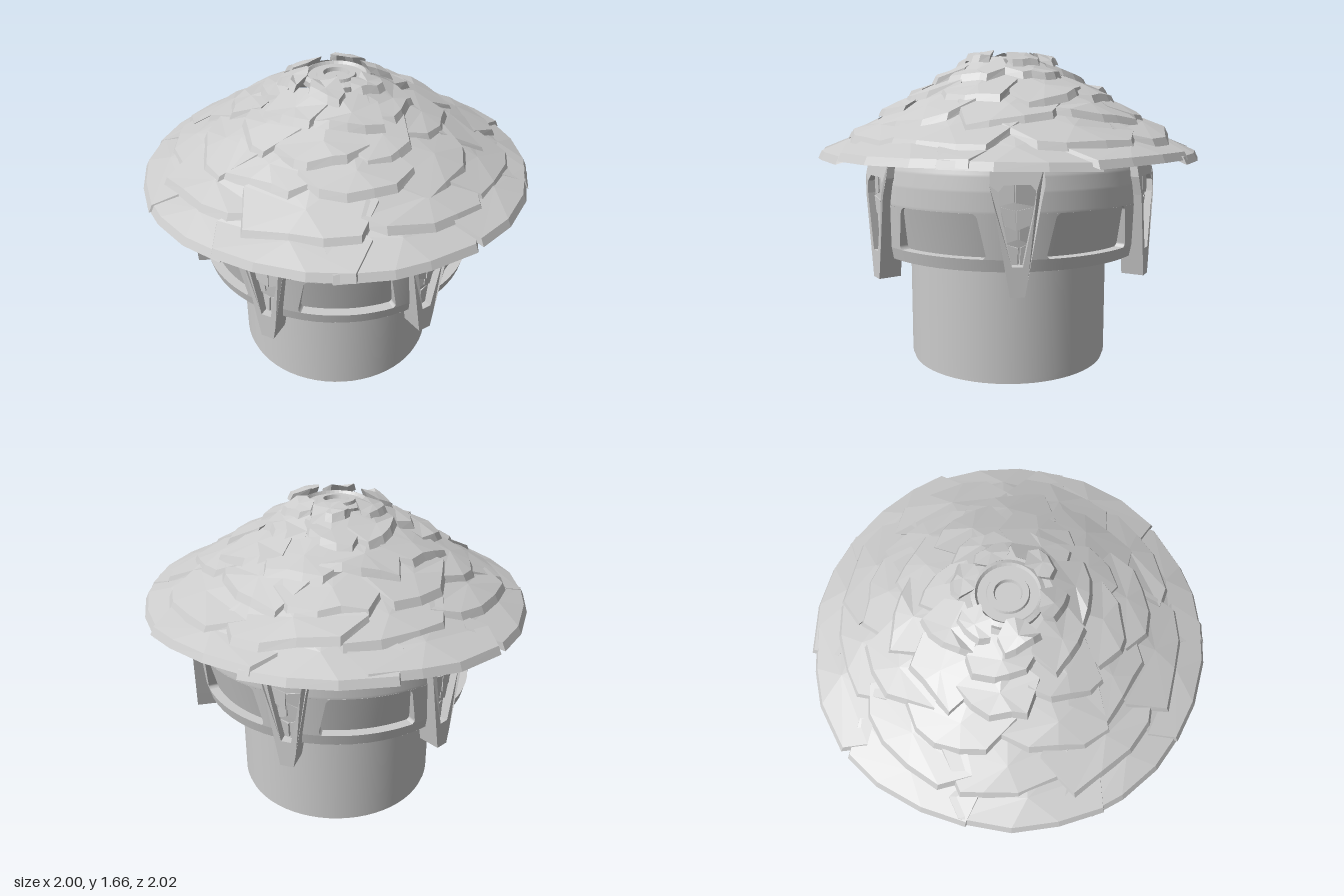
import * as THREE from 'three';
import { ParametricGeometry } from 'three/addons/geometries/ParametricGeometry.js';

const { lerp } = THREE.MathUtils;
const smooth = new THREE.MeshStandardMaterial({ color: 0xcccccc, side: THREE.DoubleSide });
const faceted = new THREE.MeshStandardMaterial({ color: 0xcccccc, side: THREE.DoubleSide, flatShading: true });

let seed = 7;
const rand = () => (seed = (seed * 16807) % 2147483647) / 2147483647;
const jitter = (a) => (rand() * 2 - 1) * a;

function add(parent, name, geometry, material = smooth) {
  const mesh = new THREE.Mesh(geometry, material);
  mesh.name = name;
  parent.add(mesh);
  return mesh;
}

// Piecewise linear lookup in a list of [position, value]
function sample(table, t) {
  for (let i = 1; i < table.length; i++) {
    const [a, va] = table[i - 1], [b, vb] = table[i];
    if (t <= b) return lerp(va, vb, (t - a) / (b - a));
  }
  return table[table.length - 1][1];
}

const lathe = (pts, n = 64) => new THREE.LatheGeometry(pts.map(([r, y]) => new THREE.Vector2(r, y)), n);

// Plain drum below, with concentric ridges and a central well underneath
function addBase(g) {
  add(g, 'drum', new THREE.CylinderGeometry(0.537, 0.537, 0.595, 64, 1, true)).position.y = 0.3225;
  add(g, 'drumFoot', new THREE.CylinderGeometry(0.528, 0.528, 0.025, 64, 1, true)).position.y = 0.0125;
  add(g, 'drumLip', lathe([[0.537, 0.025], [0.528, 0.025]]));
  const ridges = [];
  for (let i = 0; i <= 12; i++) ridges.push([0.16 + i * 0.0307, i % 2 ? 0.025 : 0]);
  add(g, 'drumUnderside', lathe(ridges), faceted);
  add(g, 'drumWell', lathe([[0.001, 0.2], [0.15, 0.2], [0.16, 0]]));
}

// Upper band with six recessed windows
const bandRadius = [[0.62, 0.715], [0.68, 0.73], [0.9, 0.752], [1.0, 0.75], [1.07, 0.74], [1.13, 0.72]];
function bandPoint(angle, y, inset, target) {
  const r = sample(bandRadius, y) - inset;
  target.set(r * Math.sin(angle), y, r * Math.cos(angle));
}
function addBand(g) {
  const half = Math.PI / 6, low = 0.68, high = 0.895;
  // Window half angle, rounded off at the corners
  const edge = (y) => {
    const t = (y - low) / (high - low);
    const corner = Math.max(0, 1 - Math.min(t, 1 - t) * 10);
    return lerp(0.335, 0.275, t) - 0.022 * corner * corner;
  };
  const recess = (y) => lerp(0.05, 0.015, (y - low) / (high - low));
  const patch = (a0, a1, y0, y1, inset = () => 0) => new ParametricGeometry((u, v, t) => {
    const y = lerp(y0, y1, v);
    bandPoint(lerp(a0(y), a1(y), u), y, inset(y), t);
  }, 10, 20);
  for (let i = 0; i < 6; i++) {
    const sector = new THREE.Group();
    sector.name = 'windowSector';
    sector.rotation.y = i * Math.PI / 3;
    g.add(sector);
    const L = () => -half, R = () => half, l = (y) => -edge(y), r = edge;
    add(sector, 'bandBelow', patch(L, R, 0.62, low));
    add(sector, 'bandAbove', patch(L, R, high, 1.13));
    add(sector, 'bandLeft', patch(r, R, low, high));
    add(sector, 'bandRight', patch(L, l, low, high));
    add(sector, 'windowPane', patch(l, r, low, high, recess));
    // Reveals around the pane
    for (const s of [-1, 1]) add(sector, 'windowJamb', new ParametricGeometry((u, v, t) => {
      const y = lerp(low, high, v);
      bandPoint(s * edge(y), y, u * recess(y), t);
    }, 1, 20));
    for (const y of [low, high]) add(sector, 'windowSill', new ParametricGeometry((u, v, t) => {
      bandPoint(lerp(-edge(y), edge(y), v), y, u * recess(y), t);
    }, 1, 10));
  }
  add(g, 'bandFloor', new THREE.RingGeometry(0.5, 0.715, 64).rotateX(Math.PI / 2)).position.y = 0.62;
  add(g, 'bandTop', new THREE.CircleGeometry(0.72, 64).rotateX(-Math.PI / 2)).position.y = 1.13;
}

// V-shaped brackets hanging under the eave, filled with cracked stone
function addBracket(g, angle) {
  const b = new THREE.Group();
  b.name = 'bracket';
  b.rotation.y = angle;
  g.add(b);
  const mirrored = (pts) => [
    ...pts.map(([x, y]) => new THREE.Vector2(x, y)),
    ...pts.slice().reverse().map(([x, y]) => new THREE.Vector2(-x, y))];
  const shape = new THREE.Shape(mirrored([[0.034, 0.52], [0.048, 0.6], [0.105, 0.94], [0.125, 1.03], [0.12, 1.11]]));
  shape.holes.push(new THREE.Path(mirrored([[0.025, 0.66], [0.08, 0.94], [0.085, 1.0], [0.06, 1.03]])));
  const frame = new THREE.ExtrudeGeometry(shape, { depth: 0.115, bevelEnabled: false }).translate(0, 0, 0.67);
  const p = frame.attributes.position;
  // Lean the head inwards with the band
  for (let i = 0; i < p.count; i++) p.setZ(i, p.getZ(i) - Math.max(0, p.getY(i) - 0.98) * 0.2);
  frame.computeVertexNormals();
  add(b, 'bracketFrame', frame, faceted);
  // Wedge-shaped shards, split by slanting cracks
  const cuts = [0.66, 0.76, 0.84, 0.93, 1.03];
  const width = (y) => lerp(0.025, 0.09, (y - 0.66) / 0.37);
  for (let i = 0; i < 4; i++) {
    const split = jitter(0.3), slant = 0.02 * (i % 2 ? 1 : -1);
    for (const s of [-1, 1]) {
      const y0 = cuts[i], y1 = cuts[i + 1];
      const shard = new THREE.Shape([
        new THREE.Vector2(s * width(y0), y0 + 0.004), new THREE.Vector2(split * width(y0), y0 + slant),
        new THREE.Vector2(split * width(y1), y1 + slant), new THREE.Vector2(s * width(y1), y1 - 0.004)]);
      const geo = new THREE.ExtrudeGeometry(shard, { depth: 0.03, bevelEnabled: false });
      const mid = (y0 + y1) / 2;
      geo.translate(0, -mid, 0).rotateX(jitter(0.1)).rotateY(s * 0.12 + jitter(0.1));
      add(b, 'bracketShard', geo, faceted).position.set(0, mid, lerp(0.715, 0.733, i / 3));
    }
  }
}

// Roof of overlapping irregular slabs
const roofHeight = [[0.12, 1.67], [0.3, 1.525], [0.5, 1.41], [0.65, 1.315], [0.8, 1.215], [1, 1.12]];
function slabGeometry(r0, r1, mid, span, lift, rough, corner) {
  const rim = [];
  const skew = jitter(0.5);
  // Each slab is lifted more at one side than at the other
  const point = (r, a, up) => rim.push([r, mid + a * span, up * (1 + skew * a)]);
  const slant = jitter(rough);
  for (const a of [corner, corner / 3, -corner / 3, -corner]) {
    point(r1 - rough + slant * a / corner + jitter(rough * 0.4), a + jitter(0.05), lift);
  }
  point(lerp(r0, r1, 0.5 + jitter(0.2)), -0.56, lift * 0.6);
  for (const a of [-0.36, 0, 0.36]) point(r0 + jitter(rough * 0.5), a, 0);
  point(lerp(r0, r1, 0.5 + jitter(0.2)), 0.56, lift * 0.6);
  // The underside spreads a little, so the broken edges slope
  const place = ([r, a, up], drop) => {
    const wide = r + drop * 0.5;
    return [wide * Math.cos(a), sample(roofHeight, r) + up - drop, wide * Math.sin(a)];
  };
  const hub = [(r0 + r1) / 2, mid, lift * 0.6 + 0.004];
  const thick = 0.038;
  const pos = [];
  rim.forEach((p, i) => {
    const q = rim[(i + 1) % rim.length];
    const [a, b, c, d] = [place(p, 0), place(q, 0), place(p, thick), place(q, thick)];
    pos.push(...place(hub, 0), ...a, ...b, ...place(hub, thick), ...d, ...c);
    pos.push(...a, ...c, ...b, ...b, ...c, ...d);
  });
  const geo = new THREE.BufferGeometry();
  geo.setAttribute('position', new THREE.Float32BufferAttribute(pos, 3));
  geo.computeVertexNormals();
  return geo;
}
function addRoof(g) {
  const roof = new THREE.Group();
  roof.name = 'roof';
  g.add(roof);
  // inner radius, outer radius, slab count, overlap, lift, roughness, corner position
  const rows = [
    [0.72, 1.0, 10, 1.2, 0.015, 0.012, 0.45],
    [0.57, 0.89, 9, 1.16, 0.038, 0.04, 0.36],
    [0.43, 0.74, 9, 1.16, 0.038, 0.05, 0.33],
    [0.3, 0.58, 9, 1.16, 0.042, 0.045, 0.3],
    [0.2, 0.42, 7, 1.02, 0.045, 0.04, 0.32],
    [0.15, 0.28, 6, 0.72, 0.05, 0.025, 0.36],
  ];
  rows.forEach(([r0, r1, n, overlap, lift, rough, corner], row) => {
    for (let i = 0; i < n; i++) {
      const mid = row * 0.37 + (i + jitter(0.1)) / n * Math.PI * 2;
      const up = lift + (i % 2) * 0.01 + jitter(0.008);
      const shift = jitter(rough * 0.5);
      add(roof, 'roofSlab', slabGeometry(r0, r1 + Math.min(shift, row ? shift : 0), mid,
        Math.PI * 2 / n * overlap, up, rough, corner), faceted);
    }
  });
  // Stepped ring at the peak
  add(roof, 'peakRing', lathe([[0.145, 1.57], [0.17, 1.58], [0.17, 1.61], [0.15, 1.62], [0.14, 1.605],
    [0.1, 1.605], [0.095, 1.62], [0.065, 1.62], [0.06, 1.6], [0.001, 1.6]], 40), faceted);
}

export function createModel() {
  const g = new THREE.Group();
  g.name = 'roundHut';
  addBase(g);
  addBand(g);
  for (let i = 0; i < 6; i++) addBracket(g, Math.PI / 6 + i * Math.PI / 3);
  addRoof(g);
  return g;
}
